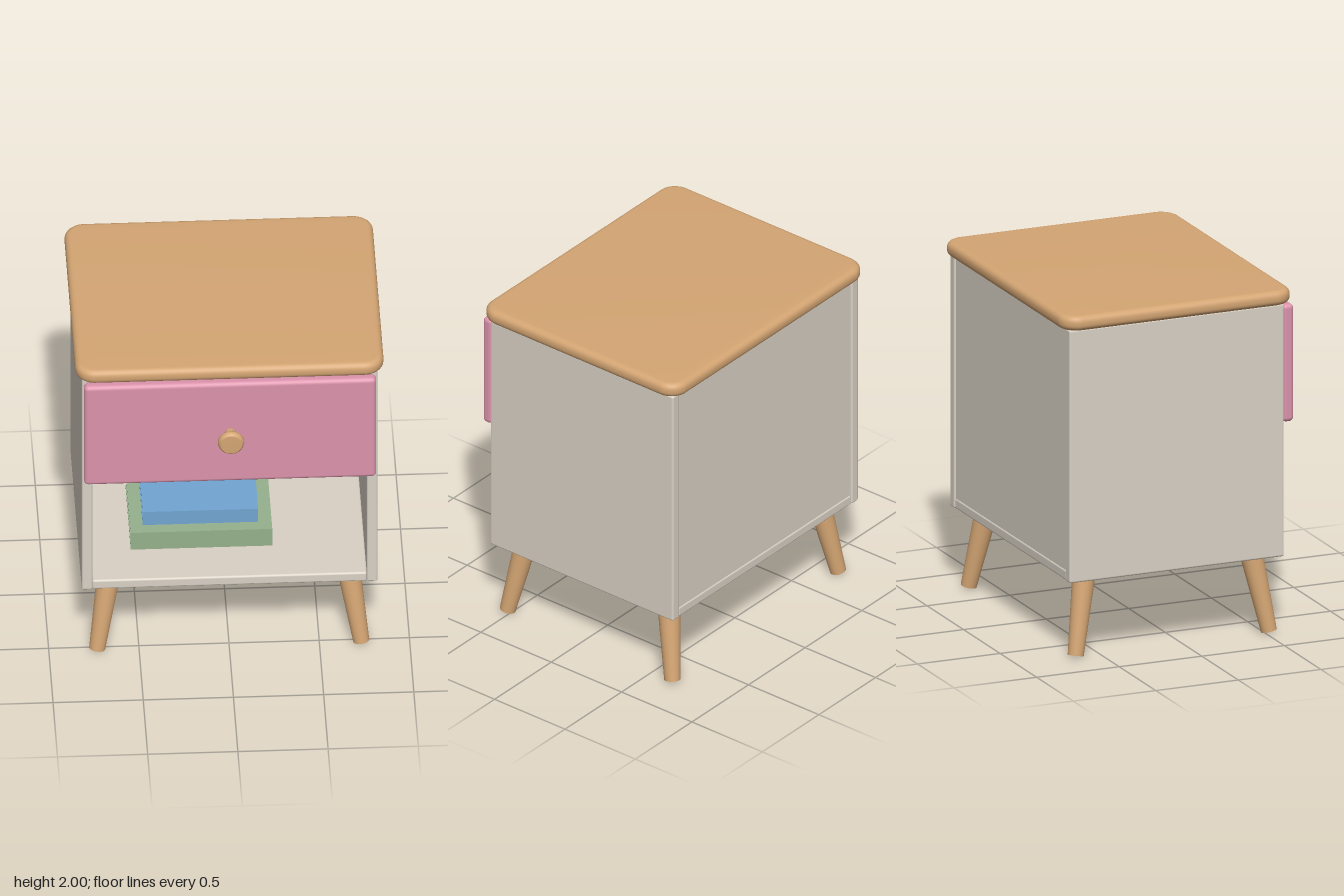
import * as THREE from 'three';
import { toCreasedNormals } from 'three/addons/utils/BufferGeometryUtils.js';
import { RoundedBoxGeometry } from 'three/addons/geometries/RoundedBoxGeometry.js';

const material = (name, color) => {
  const m = new THREE.MeshStandardMaterial({ color });
  m.name = name;
  return m;
};

export function createModel() {
  const wood = material('wood', 0xd4a573);
  const paint = material('warm grey paint', 0xd9d1c5);
  const pink = material('pink paint', 0xdb93ab);
  const green = material('green cover', 0x95b08c);
  const blue = material('blue cover', 0x71a5d3);
  const paper = material('paper', 0xefe9dc);

  const model = new THREE.Group();
  model.name = 'nightstand';

  const add = (name, geometry, mat, parent = model) => {
    const mesh = new THREE.Mesh(geometry, mat);
    mesh.name = name;
    parent.add(mesh);
    return mesh;
  };

  // Box given by its limits on each axis, with optional rounded edges
  const box = (name, [x0, x1], [y0, y1], [z0, z1], mat, radius = 0, parent = model) => {
    const size = [x1 - x0, y1 - y0, z1 - z0];
    const geometry = radius
      ? new RoundedBoxGeometry(...size, 3, radius)
      : new THREE.BoxGeometry(...size);
    const mesh = add(name, geometry, mat, parent);
    mesh.position.set((x0 + x1) / 2, (y0 + y1) / 2, (z0 + z1) / 2);
    return mesh;
  };

  // Table top: rounded rectangle with softly rolled edges
  const bevel = 0.035, w = 0.855 - bevel, d = 0.6975 - bevel, r = 0.075;
  const outline = new THREE.Shape();
  outline.absarc(w - r, d - r, r, 0, Math.PI / 2);
  outline.absarc(-w + r, d - r, r, Math.PI / 2, Math.PI);
  outline.absarc(-w + r, -d + r, r, Math.PI, Math.PI * 1.5);
  outline.absarc(w - r, -d + r, r, Math.PI * 1.5, Math.PI * 2);
  const slab = new THREE.ExtrudeGeometry(outline, {
    depth: 0.015, bevelSize: bevel, bevelThickness: bevel, bevelSegments: 5, curveSegments: 10,
  });
  slab.rotateX(-Math.PI / 2);
  add('tableTop', toCreasedNormals(slab, 0.6), wood).position.set(0, 1.915 + bevel, -0.0625);

  // Cabinet panels
  for (const [side, s] of [['left', 1], ['right', -1]]) {
    const xs = s > 0 ? [0.76, 0.82] : [-0.82, -0.76];
    box(side + 'SidePanel', xs, [0.455, 1.918], [-0.72, 0.58], paint, 0.012);
  }
  const inner = [-0.762, 0.762];
  box('bottomPanel', inner, [0.455, 0.515], [-0.715, 0.575], paint, 0.012);
  box('drawerShelf', inner, [1.215, 1.265], [-0.69, 0.575], paint, 0.006);
  box('topRail', inner, [1.87, 1.918], [-0.69, 0.575], paint, 0.006);
  box('backPanel', inner, [0.48, 1.918], [-0.71, -0.67], paint);

  // Drawer front and turned knob
  box('drawerFront', [-0.81, 0.81], [1.225, 1.905], [0.578, 0.645], pink, 0.025);
  const knobProfile = [
    [0.032, -0.01], [0.03, 0.03], [0.032, 0.045], [0.045, 0.06], [0.066, 0.072],
    [0.073, 0.082], [0.073, 0.092], [0.068, 0.104], [0.06, 0.112], [0, 0.114],
  ].map(([x, y]) => new THREE.Vector2(x, y));
  const knob = add('knob', toCreasedNormals(new THREE.LatheGeometry(knobProfile, 32), 0.7), wood);
  knob.rotation.x = Math.PI / 2;
  knob.position.set(0, 1.565, 0.645);

  // Splayed tapered legs
  const up = new THREE.Vector3(0, 1, 0);
  for (const [end, sz] of [['front', 1], ['back', -1]]) {
    for (const [side, sx] of [['Left', 1], ['Right', -1]]) {
      const top = new THREE.Vector3(sx * 0.662, 0.475, -0.06 + sz * 0.502);
      const foot = new THREE.Vector3(sx * 0.732, 0.009, -0.06 + sz * 0.585);
      const axis = top.clone().sub(foot);
      const leg = add(end + side + 'Leg',
        new THREE.CylinderGeometry(0.066, 0.045, axis.length(), 24), wood);
      leg.position.copy(top).add(foot).multiplyScalar(0.5);
      leg.quaternion.setFromUnitVectors(up, axis.normalize());
    }
  }

  // Books: two boards, a spine facing forward and a page block
  const book = (name, [x0, x1], [y0, y1], [z0, z1], cover) => {
    const group = new THREE.Group();
    group.name = name;
    model.add(group);
    const t = 0.012;
    box('lowerBoard', [x0, x1], [y0, y0 + t], [z0, z1], cover, 0, group);
    box('upperBoard', [x0, x1], [y1 - t, y1], [z0, z1], cover, 0, group);
    box('spine', [x0, x1], [y0 + t, y1 - t], [z1 - t, z1], cover, 0, group);
    box('pages', [x0 + 0.006, x1 - 0.006], [y0 + t, y1 - t], [z0 + 0.006, z1 - t], paper, 0, group);
  };
  book('lowerBook', [-0.535, 0.25], [0.515, 0.63], [-0.28, 0.3], green);
  book('upperBook', [-0.465, 0.175], [0.63, 0.72], [-0.26, 0.23], blue);

  return model;
}
